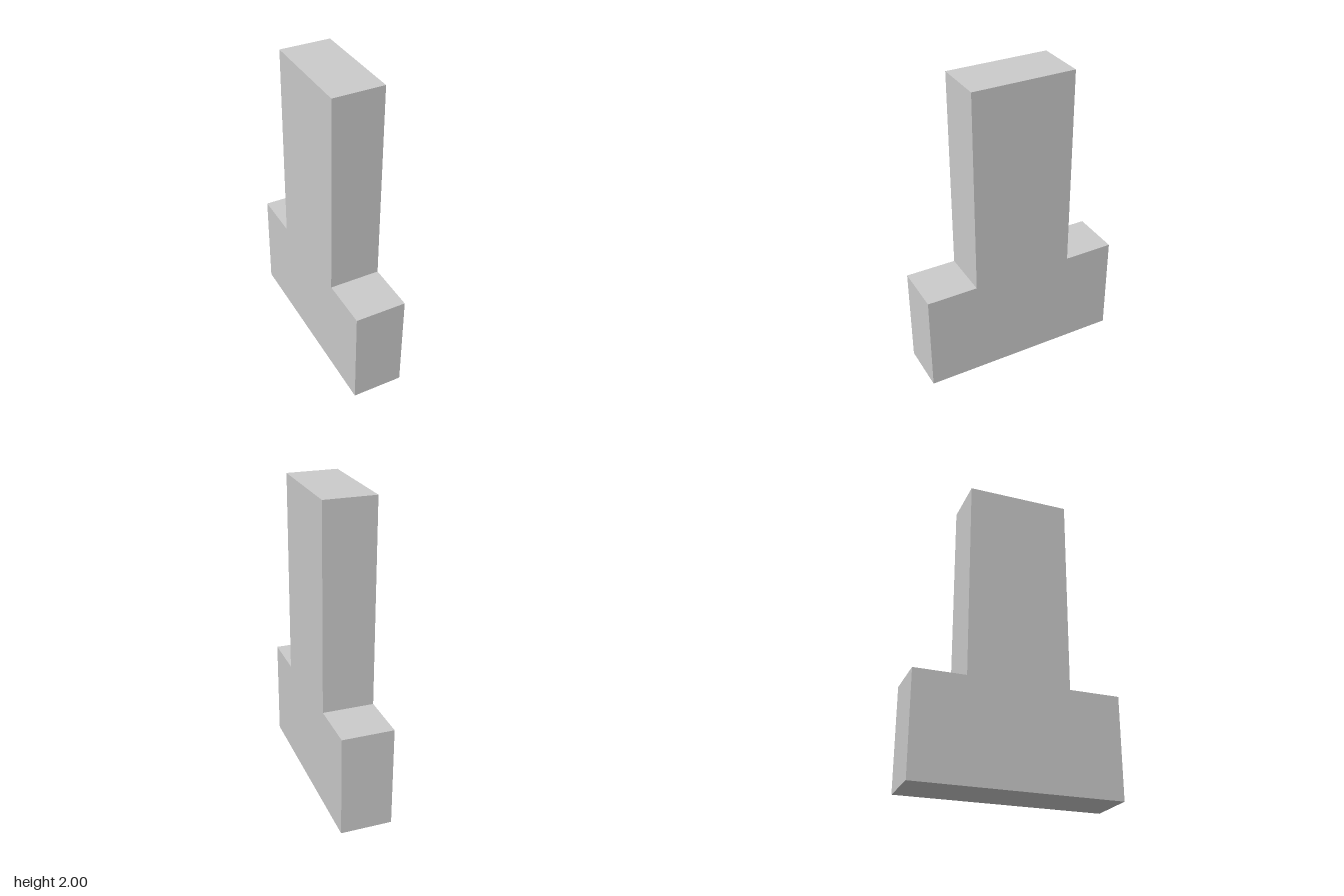
import * as THREE from 'three';

// One unit of the block grid; the whole body is 6 units tall
const U = 1 / 3;

export function createModel() {
  const group = new THREE.Group();
  group.name = 'steppedBlock';

  // Half outline of the upright on its wider foot, mirrored to the other side
  const half = [[2 * U, 0], [2 * U, 2 * U], [U, 2 * U], [U, 6 * U]];
  const outline = [...half, ...half.map(([z, y]) => [-z, y]).reverse()];
  const shape = new THREE.Shape(outline.map(([z, y]) => new THREE.Vector2(z, y)));

  // Extrude across the width, centred on x = 0
  const geometry = new THREE.ExtrudeGeometry(shape, { depth: U, bevelEnabled: false });
  geometry.translate(0, 0, -U / 2);
  geometry.rotateY(Math.PI / 2);

  const body = new THREE.Mesh(
    geometry,
    new THREE.MeshStandardMaterial({ color: 0xcccccc, flatShading: true })
  );
  body.name = 'uprightOnFoot';
  group.add(body);
  return group;
}
